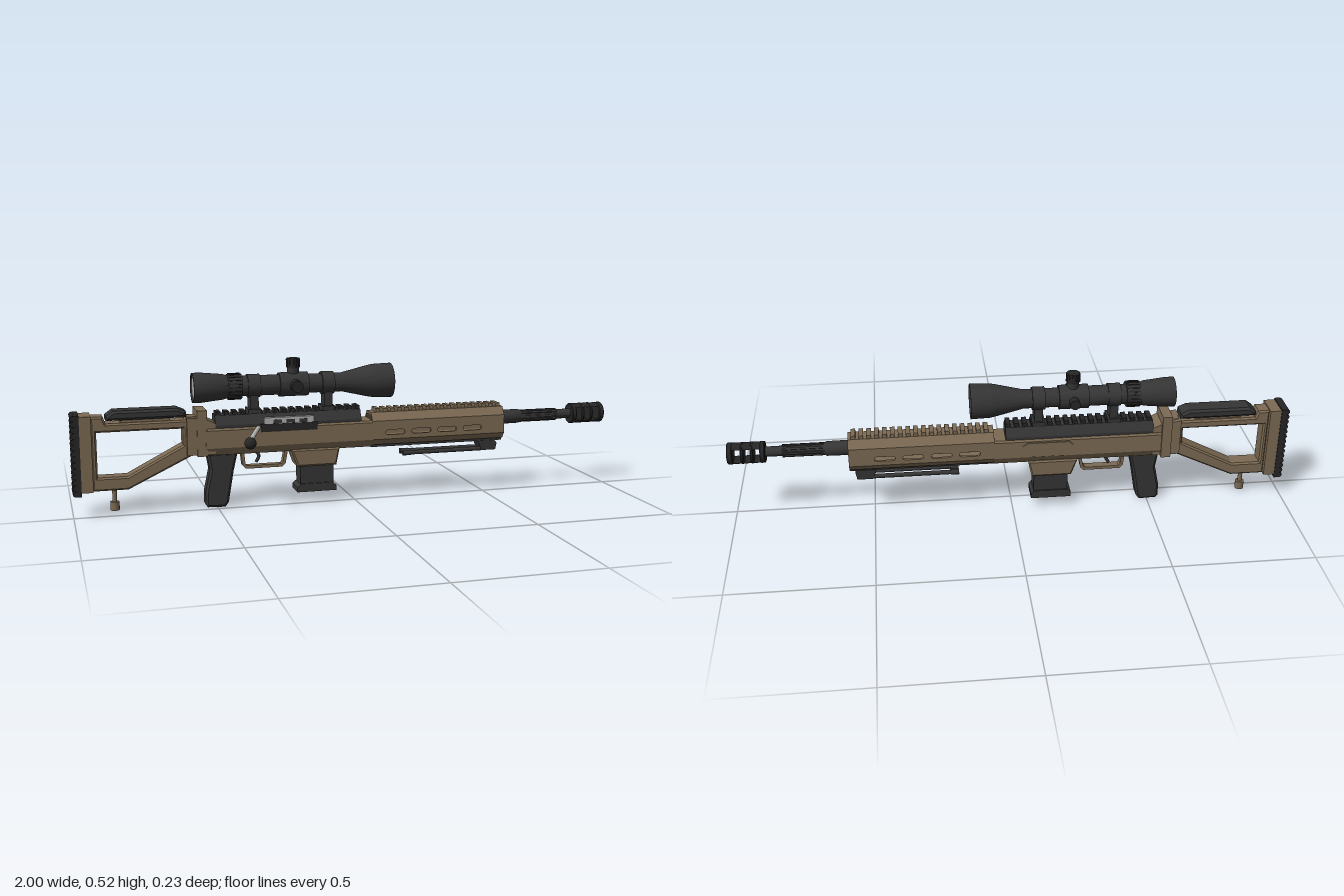
import * as THREE from 'three';
import { toCreasedNormals } from 'three/addons/utils/BufferGeometryUtils.js';

const mat = (name, color) => {
  const m = new THREE.MeshStandardMaterial({ color });
  m.name = name;
  return m;
};

export function createModel() {
  const tan = mat('tan', 0x7c6a53);
  const dark = mat('dark grey', 0x353535);
  const black = mat('black', 0x262626);
  const silver = mat('silver', 0xb0b0b0);
  const glass = mat('lens grey', 0xaaaaaa);

  const root = new THREE.Group();
  root.name = 'rifle';
  root.position.z = -0.043;

  const add = (name, geo, material) => {
    const m = new THREE.Mesh(geo, material);
    m.name = name;
    root.add(m);
    return m;
  };
  // box from its limits in x and y, and its centre and half width in z
  const box = (name, x0, x1, y0, y1, half, material, z = 0) =>
    add(name, new THREE.BoxGeometry(x1 - x0, y1 - y0, half * 2)
      .translate((x0 + x1) / 2, (y0 + y1) / 2, z), material);
  const poly = (pts) => new THREE.Shape(pts.map((p) => new THREE.Vector2(p[0], p[1])));
  // side outline extruded across z, with optional holes
  const slab = (name, pts, half, material, holes = [], z = 0, bevel = 0) => {
    const s = poly(pts);
    s.holes = holes.map(poly);
    const d = (half - bevel) * 2;
    const g = new THREE.ExtrudeGeometry(s, {
      depth: d, bevelEnabled: bevel > 0, bevelSize: bevel, bevelOffset: -bevel,
      bevelThickness: bevel, bevelSegments: 1,
    });
    return add(name, g.translate(0, 0, z - d / 2), material);
  };
  // half section [z, y], mirrored and extruded along x
  const prism = (name, half, x0, x1, material) => {
    const pts = [...half, ...half.map(([z, y]) => [-z, y]).reverse()];
    const g = new THREE.ExtrudeGeometry(poly(pts), { depth: x1 - x0, bevelEnabled: false });
    return add(name, g.rotateY(Math.PI / 2).translate(x0, 0, 0), material);
  };
  // profile [x, radius] turned about an axis along x
  const turned = (name, pts, y, material, seg = 32) => {
    const g = new THREE.LatheGeometry(pts.map(([x, r]) => new THREE.Vector2(r, x)), seg);
    return add(name, toCreasedNormals(g.rotateZ(-Math.PI / 2).translate(0, y, 0), 0.5), material);
  };
  const rod = (name, r, len, axis, x, y, z, material, seg = 24) => {
    const g = new THREE.CylinderGeometry(r, r, len, seg);
    if (axis === 'x') g.rotateZ(Math.PI / 2);
    if (axis === 'z') g.rotateX(Math.PI / 2);
    return add(name, g.translate(x, y, z), material);
  };

  // Stock: ridged pad, butt plate, open frame, cheek rest, monopod
  box('buttPad', -0.988, -0.97, 0.078, 0.36, 0.048, black);
  for (let i = 0; i < 14; i++)
    rod('buttPadRidge', 0.0095, 0.096, 'z', -0.9905, 0.088 + i * 0.0202, 0, black, 8);
  box('buttPlate', -0.972, -0.93, 0.09, 0.355, 0.045, tan);
  slab('stockFrame', [[-0.932, 0.09], [-0.81, 0.09], [-0.58, 0.2], [-0.565, 0.2], [-0.565, 0.335],
    [-0.6, 0.335], [-0.61, 0.325], [-0.88, 0.325], [-0.89, 0.35], [-0.932, 0.35]], 0.032, tan,
  [[[-0.913, 0.137], [-0.81, 0.137], [-0.617, 0.237], [-0.617, 0.295], [-0.913, 0.295]]], 0, 0.006);
  slab('cheekRest', [[-0.88, 0.335], [-0.605, 0.335], [-0.605, 0.355], [-0.635, 0.368],
    [-0.855, 0.368], [-0.88, 0.35]], 0.036, dark, [], 0, 0.008);
  box('cheekRestMount', -0.83, -0.66, 0.32, 0.338, 0.02, tan);
  rod('monopodPost', 0.008, 0.06, 'y', -0.857, 0.07, 0, tan, 16);
  rod('monopodFoot', 0.016, 0.03, 'y', -0.857, 0.029, 0, tan, 16);

  // Hinge and lower receiver
  slab('hingeBlock', [[-0.605, 0.2], [-0.505, 0.2], [-0.505, 0.31], [-0.535, 0.325],
    [-0.605, 0.335]], 0.044, tan);
  box('hinge', -0.57, -0.535, 0.195, 0.358, 0.052, tan, -0.004);
  prism('lowerReceiver', [[0.035, 0.195], [0.05, 0.222], [0.05, 0.285], [0.045, 0.292]],
    -0.54, 0.068, tan);
  slab('sidePanel', [[-0.2, 0.225], [-0.05, 0.225], [-0.035, 0.24], [-0.035, 0.268], [-0.05, 0.28],
    [-0.2, 0.28], [-0.215, 0.268], [-0.215, 0.24]], 0.003, tan, [], -0.051);
  slab('magazineWell', [[-0.235, 0.2], [-0.212, 0.137], [-0.068, 0.137], [-0.055, 0.2]],
    0.046, tan, [], 0, 0.006);
  box('magazine', -0.2, -0.077, 0.068, 0.14, 0.035, dark);
  slab('magazineBase', [[-0.213, 0.042], [-0.067, 0.042], [-0.067, 0.06], [-0.08, 0.072],
    [-0.198, 0.072], [-0.213, 0.06]], 0.04, dark);
  slab('grip', [[-0.535, 0.2], [-0.425, 0.2], [-0.44, 0.135], [-0.46, 0.02], [-0.472, 0.003],
    [-0.535, 0.005], [-0.542, 0.015], [-0.542, 0.06], [-0.525, 0.14]], 0.029, dark, [], 0, 0.008);
  slab('triggerGuard', [[-0.412, 0.2], [-0.407, 0.148], [-0.395, 0.135], [-0.262, 0.135],
    [-0.25, 0.146], [-0.24, 0.2]], 0.014, tan,
  [[[-0.4, 0.195], [-0.396, 0.152], [-0.39, 0.146], [-0.266, 0.146], [-0.26, 0.152], [-0.252, 0.195]]]);
  const trig = new THREE.CatmullRomCurve3([[-0.36, 0.2], [-0.345, 0.178], [-0.355, 0.155]]
    .map(([x, y]) => new THREE.Vector3(x, y, 0)));
  add('trigger', new THREE.TubeGeometry(trig, 10, 0.006, 8), dark);

  // Upper receiver with top rail
  prism('upperReceiver', [[0.045, 0.285], [0.045, 0.302], [0.028, 0.335]], -0.505, 0.025, dark);
  for (let i = 0; i < 18; i++) {
    const x = -0.5 + i * 0.0298;
    box('railTooth', x, x + 0.017, 0.333, 0.347, 0.024, black);
  }

  // Bolt, its port and its handle
  box('ejectionPort', -0.345, -0.14, 0.272, 0.3, 0.003, black, 0.0485);
  box('bolt', -0.333, -0.152, 0.294, 0.322, 0.009, silver, 0.04);
  for (let i = 0; i < 3; i++) {
    const x = -0.3 + i * 0.047;
    box('boltHole', x, x + 0.03, 0.301, 0.314, 0.002, dark, 0.0485);
  }
  const arm = new THREE.CatmullRomCurve3([[-0.35, 0.288, 0.035], [-0.365, 0.283, 0.07],
    [-0.383, 0.27, 0.1], [-0.4, 0.254, 0.128]].map((p) => new THREE.Vector3(...p)));
  add('boltHandle', new THREE.TubeGeometry(arm, 16, 0.008, 12), silver);
  add('boltKnob', new THREE.SphereGeometry(0.021, 24, 16).translate(-0.4, 0.252, 0.137), black);

  // Hollow handguard: top and bottom shells, slotted sides, rail
  const g0 = 0.066, g1 = 0.58;
  const channel = (name, pts) => {
    const g = new THREE.ExtrudeGeometry(poly(pts), { depth: g1 - g0, bevelEnabled: false });
    add(name, g.rotateY(Math.PI / 2).translate(g0, 0, 0), tan);
  };
  channel('handguardTop', [[-0.05, 0.278], [-0.05, 0.29], [-0.028, 0.319], [0.028, 0.319],
    [0.05, 0.29], [0.05, 0.278], [0.041, 0.278], [0.041, 0.286], [0.024, 0.309], [-0.024, 0.309],
    [-0.041, 0.286], [-0.041, 0.278]]);
  channel('handguardBottom', [[-0.05, 0.23], [-0.05, 0.222], [-0.034, 0.2], [0.034, 0.2],
    [0.05, 0.222], [0.05, 0.23], [0.041, 0.23], [0.041, 0.225], [0.03, 0.209], [-0.03, 0.209],
    [-0.041, 0.225], [-0.041, 0.23]]);
  const slots = [0, 1, 2, 3].map((i) => {
    const x = 0.117 + i * 0.1, w = 0.073;
    return [[x, 0.242], [x + 0.008, 0.238], [x + w - 0.008, 0.238], [x + w, 0.242],
      [x + w, 0.252], [x + w - 0.008, 0.256], [x + 0.008, 0.256], [x, 0.252]];
  });
  for (const s of [1, -1])
    slab('handguardSide', [[g0, 0.23], [g1, 0.23], [g1, 0.278], [g0, 0.278]], 0.0045, tan, slots, s * 0.0455);
  for (let i = 0; i < 18; i++) {
    const x = 0.085 + i * 0.0275;
    box('handguardRailTooth', x, x + 0.016, 0.317, 0.332, 0.027, tan);
  }

  // Folded bipod below the handguard
  box('bipodRail', 0.068, 0.58, 0.19, 0.203, 0.026, dark);
  slab('bipodMount', [[0.485, 0.192], [0.55, 0.192], [0.56, 0.18], [0.555, 0.155], [0.5, 0.155]],
    0.029, dark);
  for (const s of [1, -1]) {
    rod('bipodLeg', 0.008, 0.31, 'x', 0.35, 0.16, s * 0.019, dark, 12);
    rod('bipodFoot', 0.01, 0.03, 'x', 0.207, 0.16, s * 0.019, dark, 12);
  }

  // Fluted barrel
  const by = 0.273;
  turned('barrel', [[0.02, 0], [0.02, 0.017], [0.57, 0.017], [0.57, 0.027], [0.655, 0.026],
    [0.67, 0.019], [0.875, 0.018], [0.875, 0]], by, dark);
  for (let i = 0; i < 8; i++) {
    const g = new THREE.BoxGeometry(0.16, 0.008, 0.008).translate(0.73, 0.019, 0);
    add('barrelFlute', g.rotateX((i * Math.PI) / 4).translate(0, by, 0), dark);
  }

  // Muzzle brake: rings joined by curved top and bottom bridges
  const R = 0.0385;
  for (const [a, b] of [[0.868, 0.886], [0.908, 0.919], [0.942, 0.953], [0.98, 1.0]])
    turned('brakeRing', [[a, 0], [a, R - 0.003], [a + 0.003, R], [b - 0.003, R], [b, R - 0.003],
      [b, 0.013], [b - 0.006, 0.011], [b - 0.006, 0]], by, black);
  for (const s of [1, -1]) {
    const arc = [];
    for (let i = 0; i <= 12; i++) {
      const t = Math.PI / 2 + (i / 12 - 0.5) * 1.6;
      arc.push([Math.cos(t) * (R - 0.001), by + s * Math.sin(t) * (R - 0.001)]);
    }
    const g = new THREE.ExtrudeGeometry(poly(arc), { depth: 0.11, bevelEnabled: false });
    add('brakeBridge', g.rotateY(Math.PI / 2).translate(0.878, 0, 0), black);
  }

  // Scope body, lenses, rings and turrets
  const sy = 0.432;
  turned('scopeTube', [[-0.57, 0], [-0.57, 0.047], [-0.578, 0.047], [-0.578, 0.053], [-0.55, 0.053],
    [-0.47, 0.045], [-0.455, 0.04], [-0.455, 0.045], [-0.405, 0.045], [-0.405, 0.036], [-0.27, 0.036],
    [-0.27, 0.043], [-0.165, 0.043], [-0.165, 0.034], [-0.04, 0.034], [0.06, 0.057], [0.08, 0.0605],
    [0.147, 0.0625], [0.147, 0.058], [0.138, 0.058], [0.138, 0]], sy, dark, 40);
  add('frontLens', new THREE.CircleGeometry(0.058, 40).rotateY(Math.PI / 2).translate(0.1405, sy, 0), glass);
  add('rearLens', new THREE.CircleGeometry(0.047, 40).rotateY(-Math.PI / 2).translate(-0.5725, sy, 0), glass);
  for (let i = 0; i < 20; i++) {
    const g = new THREE.BoxGeometry(0.042, 0.004, 0.006).translate(-0.43, 0.0455, 0);
    add('zoomRingRidge', g.rotateX((i * Math.PI) / 10).translate(0, sy, 0), black);
  }
  for (const x of [-0.362, -0.093]) {
    rod('scopeRing', 0.041, 0.045, 'x', x, sy, 0, dark, 32);
    box('scopeRingPost', x - 0.015, x + 0.015, 0.345, 0.41, 0.026, dark);
    box('scopeRingClamp', x - 0.023, x + 0.023, 0.335, 0.352, 0.034, dark);
  }
  rod('topTurretBase', 0.021, 0.05, 'y', -0.216, 0.475, 0, dark);
  rod('topTurret', 0.0235, 0.034, 'y', -0.216, 0.508, 0, black);
  for (let i = 0; i < 16; i++) {
    const g = new THREE.BoxGeometry(0.004, 0.028, 0.005).translate(0.0235, 0, 0);
    add('turretRidge', g.rotateY((i * Math.PI) / 8).translate(-0.216, 0.508, 0), black);
  }
  rod('rightTurret', 0.021, 0.04, 'z', -0.216, sy, 0.053, black);
  rod('leftTurret', 0.018, 0.035, 'z', -0.216, sy, -0.051, black);

  const model = new THREE.Group();
  model.name = 'model';
  model.add(root);
  return model;
}
